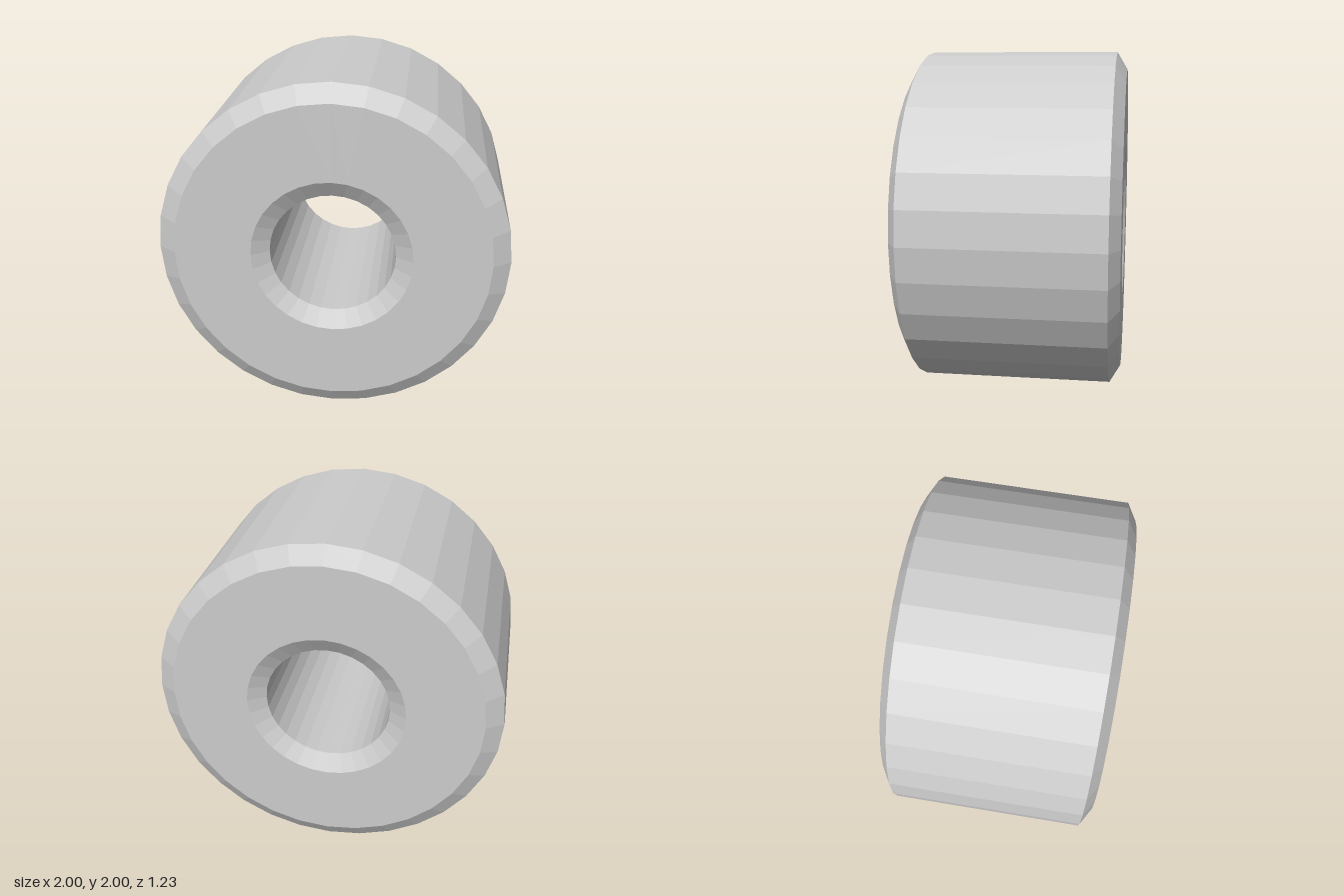
import * as THREE from 'three';

export function createModel() {
  const group = new THREE.Group();
  group.name = 'spacerRing';

  const sides = 32;
  const outer = 1, bore = 0.36, bevel = 0.1;
  const half = 0.615, edge = 0.555; // half depth, and where the bevels begin

  // Closed cross-section: up the outside, across the end, down the bore, back across
  const profile = [
    [outer, -edge], [outer, edge], [outer - bevel, half], [bore + bevel, half],
    [bore, edge], [bore, -edge], [bore + bevel, -half], [outer - bevel, -half],
    [outer, -edge],
  ].map(([r, y]) => new THREE.Vector2(r, y));

  // Faceted ring with its axis turned to point front to back
  const geometry = new THREE.LatheGeometry(profile, sides).toNonIndexed();
  geometry.rotateX(Math.PI / 2);
  geometry.computeVertexNormals();

  const ring = new THREE.Mesh(
    geometry,
    new THREE.MeshStandardMaterial({ color: 0xcccccc, flatShading: true })
  );
  ring.name = 'bevelledRing';
  ring.position.y = outer;
  group.add(ring);

  return group;
}
